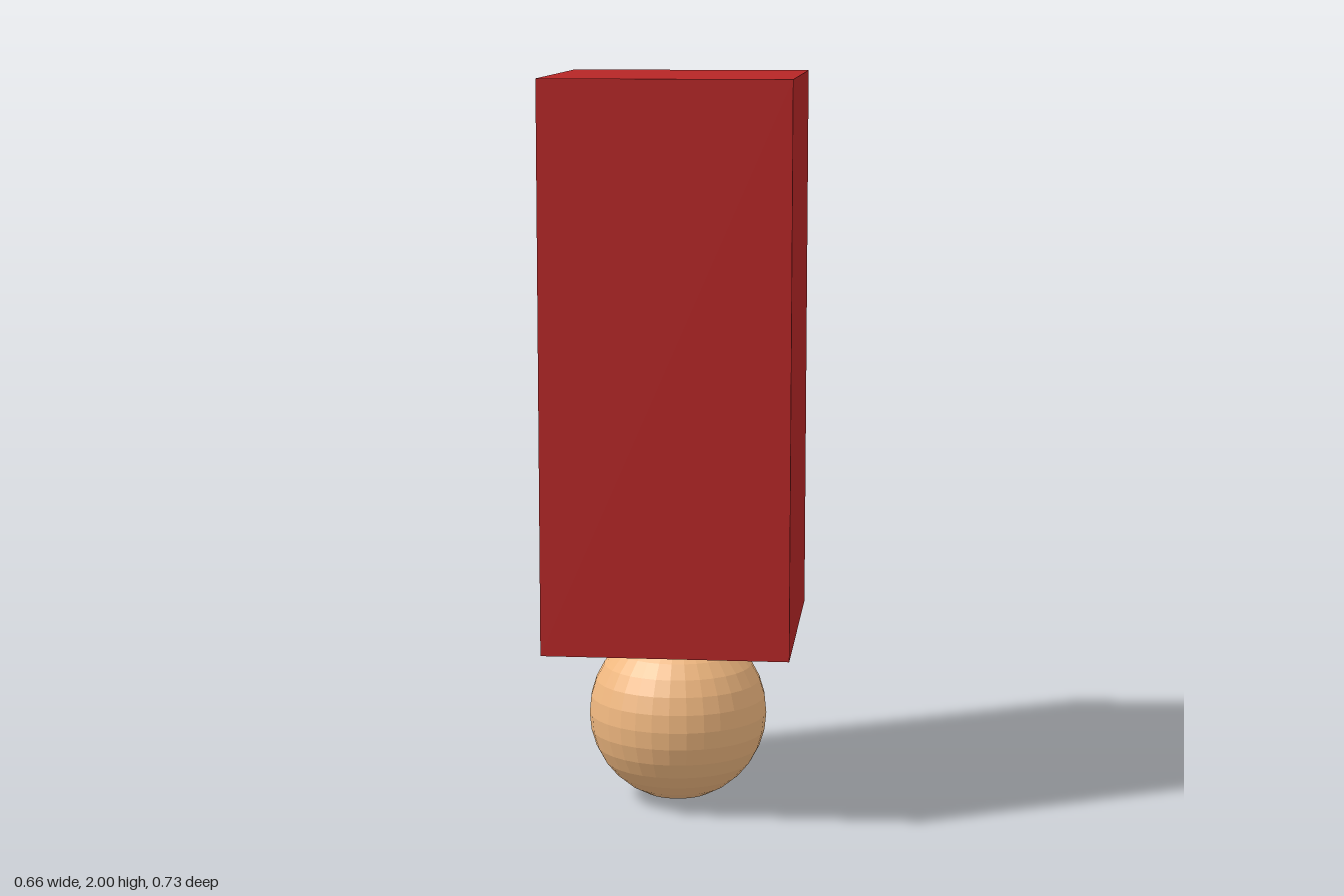
import * as THREE from 'three';

const WIDTH = 0.66, DEPTH = 0.725, BLOCK_BOTTOM = 0.482, TOP = 2;
const BALL_RADIUS = 0.246;

function addPart(group, name, geometry, color, y) {
  const material = new THREE.MeshStandardMaterial({ color, flatShading: true });
  const mesh = new THREE.Mesh(geometry, material);
  mesh.name = name;
  mesh.position.y = y;
  group.add(mesh);
}

export function createModel() {
  const model = new THREE.Group();
  model.name = 'blockOnBall';

  // Tall rectangular block
  const height = TOP - BLOCK_BOTTOM;
  addPart(model, 'block', new THREE.BoxGeometry(WIDTH, height, DEPTH), 0xb62626, BLOCK_BOTTOM + height / 2);

  // Faceted ball whose top sinks slightly into the block
  addPart(model, 'ball', new THREE.SphereGeometry(BALL_RADIUS, 32, 16), 0xf0b880, 0.25);
  model.getObjectByName('ball').position.y = BALL_RADIUS;

  return model;
}
